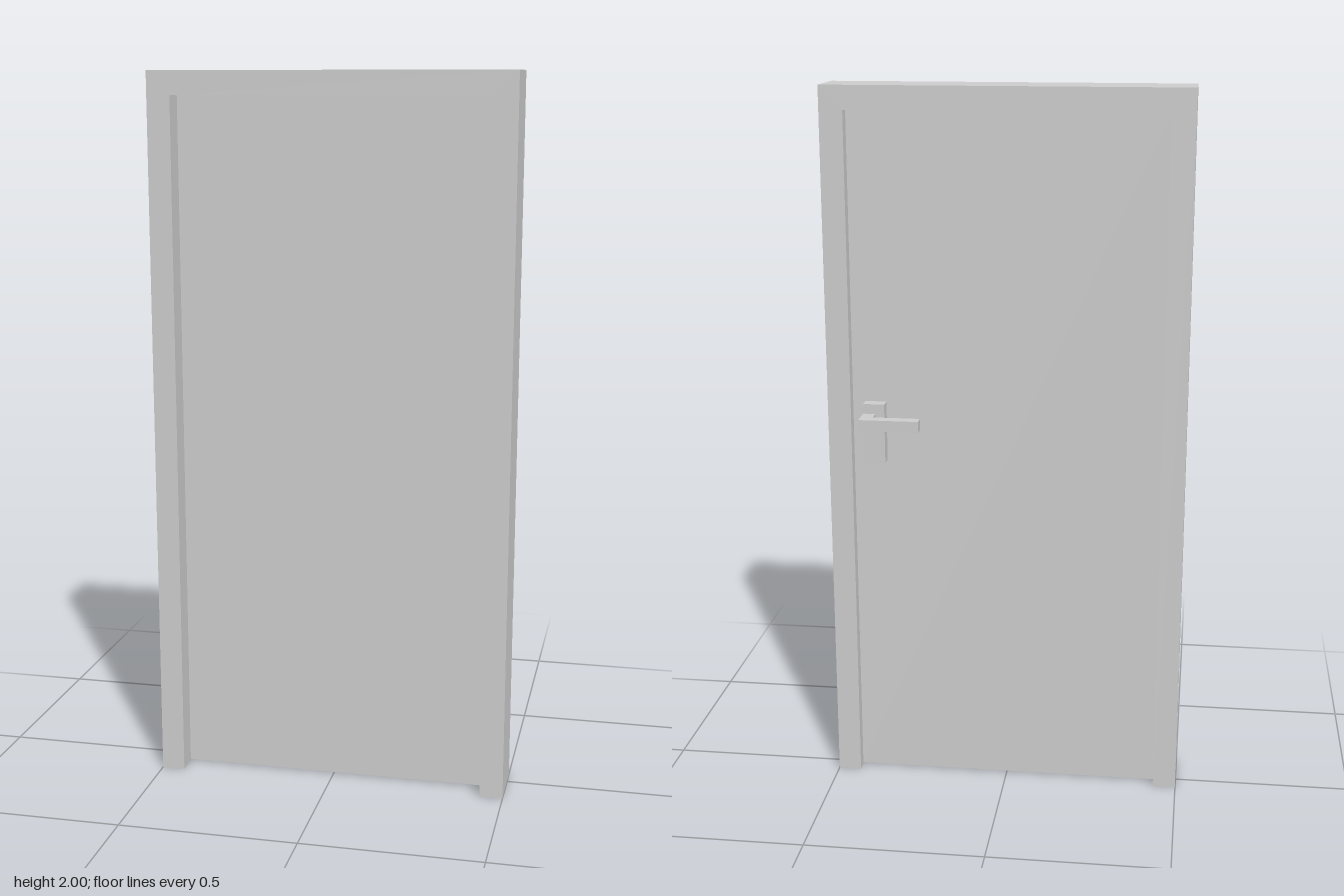
import * as THREE from 'three';

export function createModel() {
  const door = new THREE.Group();
  door.name = 'door';
  const material = new THREE.MeshStandardMaterial({ color: 0xcccccc, flatShading: true });

  function add(name, geometry, parent = door) {
    const mesh = new THREE.Mesh(geometry, material);
    mesh.name = name;
    parent.add(mesh);
    return mesh;
  }

  // Box given by its lower and upper corners
  function addBox(name, [x0, y0, z0], [x1, y1, z1], parent) {
    const box = add(name, new THREE.BoxGeometry(x1 - x0, y1 - y0, z1 - z0), parent);
    box.position.set((x0 + x1) / 2, (y0 + y1) / 2, (z0 + z1) / 2);
  }

  // Polygon extruded along its normal
  function extrude(points, depth) {
    const shape = new THREE.Shape(points.map(([x, y]) => new THREE.Vector2(x, y)));
    return new THREE.ExtrudeGeometry(shape, { depth, bevelEnabled: false });
  }

  // Frame: two jambs and a head, open at the floor
  const outer = 0.5, inner = 0.435, top = 2, head = 1.935;
  const back = -0.05, front = 0.115;
  const frame = add('frame', extrude([
    [-outer, 0], [-inner, 0], [-inner, head], [inner, head],
    [inner, 0], [outer, 0], [outer, top], [-outer, top],
  ], front - back));
  frame.position.z = back;

  // Door leaf, recessed on both sides
  const leafBack = -0.016;
  addBox('doorLeaf', [-inner, 0.004, leafBack], [inner, head, 0.051]);

  // Handle on the back: plate, and a lever bent from its spindle
  const handle = new THREE.Group();
  handle.name = 'handle';
  door.add(handle);
  addBox('handlePlate', [0.34, 0.96, back], [0.4, 1.13, leafBack], handle);

  // Lever outline in plan (x, z), turned flat and given its height
  const lever = add('handleLever', extrude([
    [0.4, back], [0.365, back], [0.365, -0.085], [0.233, -0.085],
    [0.233, -0.118], [0.4, -0.118],
  ], 0.032), handle);
  lever.rotation.x = Math.PI / 2;
  lever.position.y = 1.102;

  return door;
}
